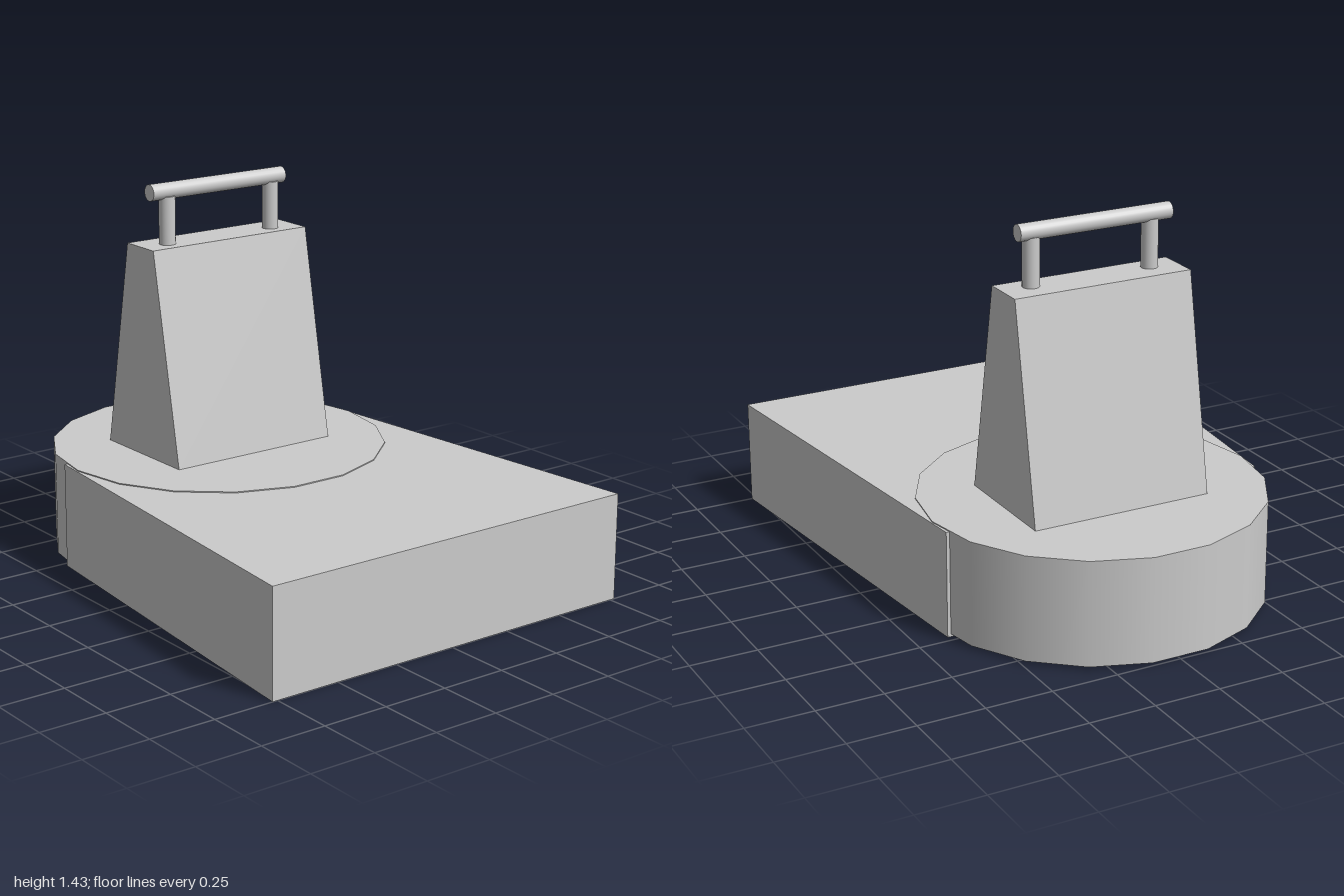
import * as THREE from 'three';

const material = new THREE.MeshStandardMaterial({ color: 0xcccccc });

function add(group, name, geometry, x = 0, y = 0, z = 0) {
  const mesh = new THREE.Mesh(geometry, material);
  mesh.name = name;
  mesh.position.set(x, y, z);
  group.add(mesh);
  return mesh;
}

// Straight prism from a 2D outline
function prism(points, depth) {
  const shape = new THREE.Shape(points.map(([x, y]) => new THREE.Vector2(x, y)));
  return new THREE.ExtrudeGeometry(shape, { depth, bevelEnabled: false });
}

export function createModel() {
  const model = new THREE.Group();
  model.name = 'model';
  const axisZ = -0.375;

  // Tapered base slab, wider at the front; outline drawn as (x, -z)
  const slab = prism([[-0.77, -1], [0.77, -1], [0.63, 0.475], [-0.63, 0.475]], 0.4);
  slab.rotateX(-Math.PI / 2);
  add(model, 'baseSlab', slab);

  // Round rear end of the base, standing just proud of the slab top
  const disc = new THREE.CylinderGeometry(0.635, 0.635, 0.393, 18);
  disc.rotateY(Math.PI / 18);
  add(model, 'roundBase', disc, 0, 0.2075, axisZ);

  // Wedge-shaped tower; outline drawn as (z, y)
  const tower = prism([[-0.62, 0.4], [-0.155, 0.4], [-0.305, 1.2], [-0.475, 1.2]], 0.695);
  tower.rotateY(-Math.PI / 2);
  add(model, 'tower', tower, 0.36);

  // Handle: two posts and a crossbar
  const handle = new THREE.Group();
  handle.name = 'handle';
  model.add(handle);
  const post = new THREE.CylinderGeometry(0.031, 0.031, 0.19, 24);
  add(handle, 'rightPost', post, -0.225, 1.285, axisZ);
  add(handle, 'leftPost', post, 0.246, 1.285, axisZ);
  const bar = new THREE.CylinderGeometry(0.031, 0.031, 0.6, 24);
  bar.rotateZ(Math.PI / 2);
  add(handle, 'crossbar', bar, 0, 1.398, axisZ - 0.003);

  return model;
}
